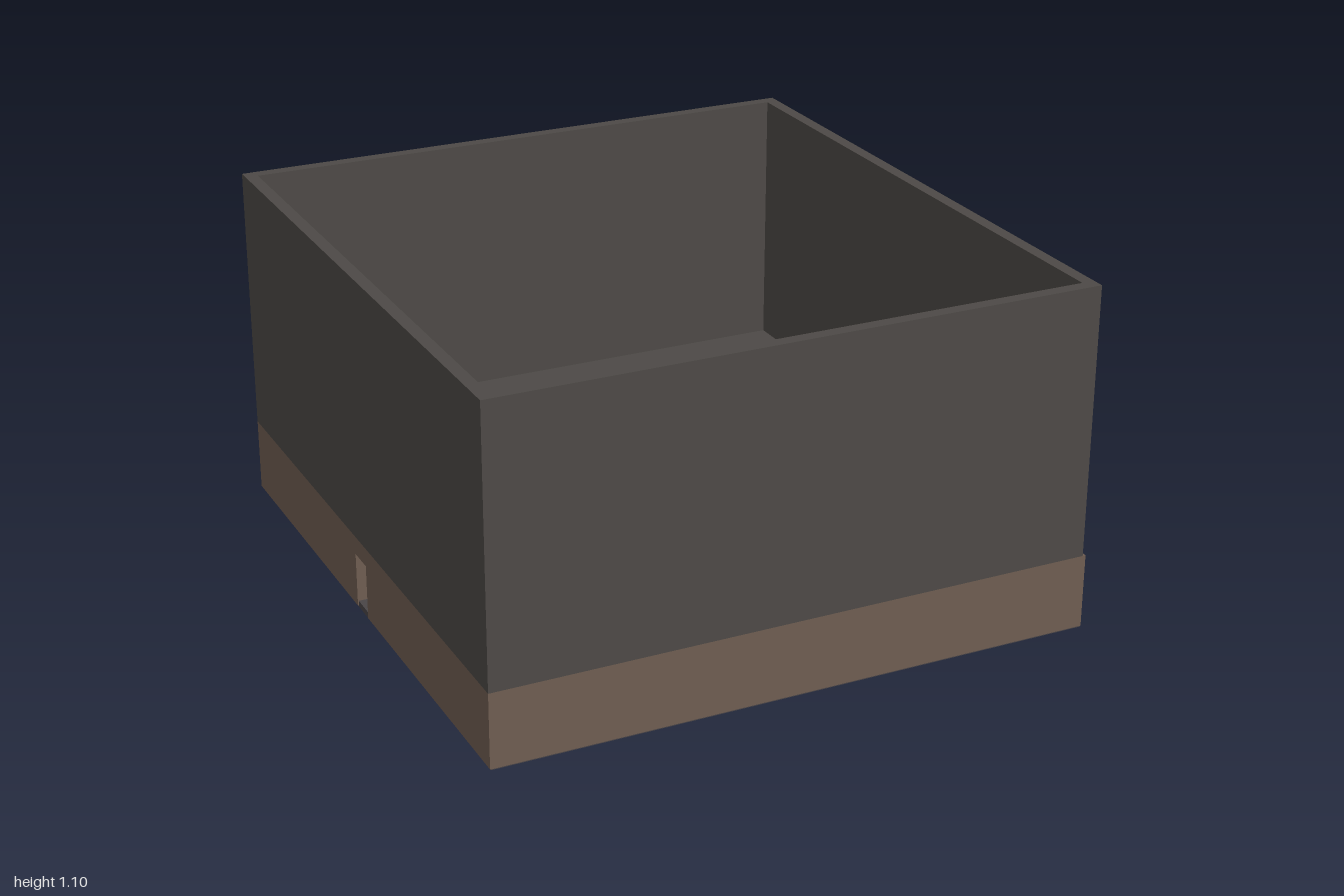
import * as THREE from 'three';

export function createModel() {
  const root = new THREE.Group();
  root.name = 'openBuilding';
  const mat = (name, color) => {
    const m = new THREE.MeshStandardMaterial({ color });
    m.name = name;
    return m;
  };
  const grey = mat('charcoalConcrete', 0x4d4946);
  const brown = mat('brownWall', 0x6f5d51);
  const base = mat('slabGrey', 0x4a4547);

  // Axis-aligned block given by its limits on each axis
  const block = (name, material, x0, x1, y0, y1, z0, z1) => {
    const mesh = new THREE.Mesh(new THREE.BoxGeometry(x1 - x0, y1 - y0, z1 - z0), material);
    mesh.position.set((x0 + x1) / 2, (y0 + y1) / 2, (z0 + z1) / 2);
    mesh.name = name;
    root.add(mesh);
    return mesh;
  };

  // Ground slab, showing only below the left wall
  block('groundSlab', base, -0.957, 0.954, 0, 0.02, -0.998, 0.998);

  // Lower storey walls
  block('lowerFrontWall', brown, -0.96, 0.955, 0.004, 0.24, 0.96, 1);
  block('lowerBackWallLow', brown, -0.96, 0.955, 0.004, 0.23, -1, -0.96);
  block('lowerBackWallTop', brown, -0.96, 0.23, 0.23, 0.24, -1, -0.96);
  block('lowerLeftWall', brown, 0.915, 0.955, 0.02, 0.24, -0.96, 0.96);

  // Right wall with a doorway
  const doorBack = -0.055, doorFront = 0.035, doorTop = 0.18;
  block('lowerRightWallBack', brown, -0.96, -0.92, 0.004, 0.24, -0.96, doorBack);
  block('lowerRightWallFront', brown, -0.96, -0.92, 0.004, 0.24, doorFront, 0.96);
  block('doorLintel', brown, -0.96, -0.92, doorTop, 0.24, doorBack, doorFront);

  // Upper storey floor and open-topped walls
  block('upperFloor', grey, -0.93, 0.915, 0.235, 0.255, -0.97, 0.97);
  block('upperFrontWall', grey, -0.96, 0.945, 0.24, 1.1, 0.96, 1);
  block('upperBackWall', grey, -0.96, 0.945, 0.25, 1.1, -1, -0.96);
  block('upperBackFooting', grey, -0.96, 0.23, 0.24, 0.25, -1, -0.96);
  block('upperRightWall', grey, -0.96, -0.92, 0.24, 1.1, -0.96, 0.96);
  block('upperLeftWall', grey, 0.905, 0.945, 0.24, 1.1, -0.96, 0.96);

  // Partition walls whose tops and ends just break through
  block('partitionEnd', grey, 0.23, 0.948, 0.02, 0.262, -0.99, -0.982);
  block('partitionRear', grey, 0.49, 0.948, 0.02, 0.262, -0.7, -0.69);
  block('partitionRearBrown', brown, 0.23, 0.49, 0.02, 0.262, -0.7, -0.69);
  block('partitionFront', grey, 0.23, 0.948, 0.02, 0.262, -0.54, -0.532);

  // Main columns
  const columns = [[-0.34, 0.225], [-0.45, 0.85]];
  for (const z of [-0.69, -0.235, -0.075, 0.85]) columns.push([0.255, z], [0.73, z]);
  for (const [x, z] of columns) {
    block('column', grey, x - 0.028, x + 0.028, 0.02, 0.259, z - 0.013, z + 0.013);
  }

  // Small square posts
  for (const x of [-0.92, -0.385, 0.185]) {
    block('smallPost', grey, x - 0.013, x + 0.013, 0.02, 0.259, 0.067, 0.083);
  }

  // Round posts
  for (const [x, z] of [[0.14, -0.045], [-0.76, 0.56], [-0.265, 0.56], [-0.015, 0.56], [0.05, 0.56]]) {
    const post = new THREE.Mesh(new THREE.CylinderGeometry(0.012, 0.012, 0.239, 12), grey);
    post.position.set(x, 0.1395, z);
    post.name = 'roundPost';
    root.add(post);
  }
  return root;
}
